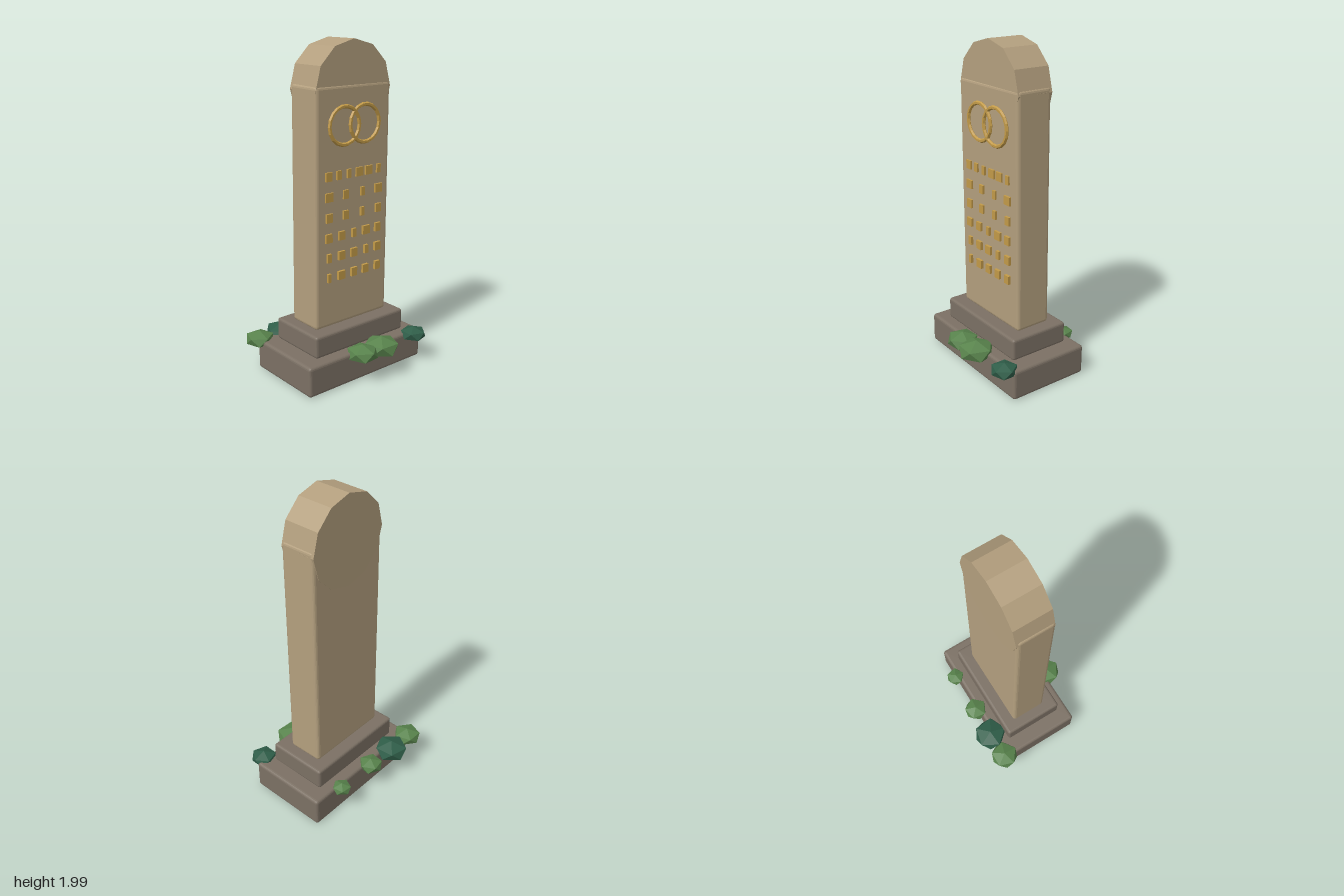
import * as THREE from 'three';
import { RoundedBoxGeometry } from 'three/addons/geometries/RoundedBoxGeometry.js';

const material = (name, color, flatShading = false) => {
  const m = new THREE.MeshStandardMaterial({ color, flatShading });
  m.name = name;
  return m;
};

export function createModel() {
  const sand = material('sandstone', 0xb39f7e, true);
  const stone = material('base stone', 0x7b7064, true);
  const gold = material('gold', 0xc29a48, true);
  const leaf = material('leaf green', 0x58834c, true);
  const pine = material('dark green', 0x2f5e49, true);

  const model = new THREE.Group();
  model.name = 'monument';
  const add = (name, geometry, mat, x, y, z, parent = model) => {
    const mesh = new THREE.Mesh(geometry, mat);
    mesh.name = name;
    mesh.position.set(x, y, z);
    parent.add(mesh);
    return mesh;
  };

  // Stepped base
  add('lowerBase', new RoundedBoxGeometry(0.88, 0.186, 0.52, 2, 0.018), stone, 0.03, 0.102, -0.004);
  add('upperBase', new RoundedBoxGeometry(0.685, 0.135, 0.388, 2, 0.016), stone, 0.032, 0.265, -0.003);

  // Upright slab, leaning forward very slightly
  const slab = add('slab', new RoundedBoxGeometry(0.552, 1.425, 0.229, 2, 0.02), sand, 0.029, 1.0425, -0.001);
  slab.rotation.set(0.0088, 0.005, 0);

  // Twelve-sided disc forming the rounded top
  const disc = new THREE.CylinderGeometry(0.275, 0.275, 0.23, 12);
  disc.rotateX(Math.PI / 2);
  add('archedTop', disc, sand, 0.03, 1.725, 0);

  // Two interlocking rings
  const ring = new THREE.TorusGeometry(0.109, 0.012, 6, 18);
  for (const x of [-0.045, 0.106]) add('ring', ring, gold, x, 1.526, 0.122);

  // Rows of small raised blocks: height, then [x, width] pairs
  const rows = [
    [1.247, [[-0.159, 0.045], [-0.085, 0.034], [-0.011, 0.028], [0.068, 0.052], [0.14, 0.052], [0.217, 0.028]]],
    [1.127, [[-0.157, 0.055], [-0.033, 0.037], [0.094, 0.026], [0.217, 0.053]]],
    [1.005, [[-0.157, 0.046], [-0.033, 0.037], [0.094, 0.027], [0.218, 0.038]]],
    [0.885, [[-0.16, 0.047], [-0.064, 0.044], [0.03, 0.029], [0.124, 0.053], [0.217, 0.042]]],
    [0.764, [[-0.157, 0.031], [-0.064, 0.047], [0.031, 0.048], [0.126, 0.027], [0.217, 0.046]]],
    [0.642, [[-0.157, 0.022], [-0.064, 0.051], [0.031, 0.043], [0.122, 0.044], [0.217, 0.038]]],
  ];
  const blocks = new THREE.Group();
  blocks.name = 'raisedBlocks';
  model.add(blocks);
  for (const [y, row] of rows) {
    for (const [x, w] of row) add('raisedBlock', new THREE.BoxGeometry(w, 0.052, 0.022), gold, x, y, 0.116, blocks);
  }

  // Flattened low-poly shrubs, one corner pointing up
  const shrub = new THREE.IcosahedronGeometry(1, 0);
  shrub.rotateZ(Math.atan(2 / (1 + Math.sqrt(5))));
  const shrubs = [
    [-0.385, -0.28, 0.095, leaf, 0.3],
    [-0.212, -0.285, 0.113, pine, 0.1],
    [-0.01, -0.28, 0.081, leaf, 0.5],
    [0.265, -0.28, 0.064, leaf, 0.2],
    [-0.03, 0.275, 0.102, leaf, 0.4],
    [0.12, 0.275, 0.117, leaf, 0.9],
    [0.396, 0.272, 0.086, pine, 0.6],
  ];
  for (const [x, z, r, mat, turn] of shrubs) {
    const bush = add('shrub', shrub, mat, x, 0.186, z);
    bush.scale.set(r, r * 0.54, r);
    bush.rotation.y = turn;
  }
  return model;
}
